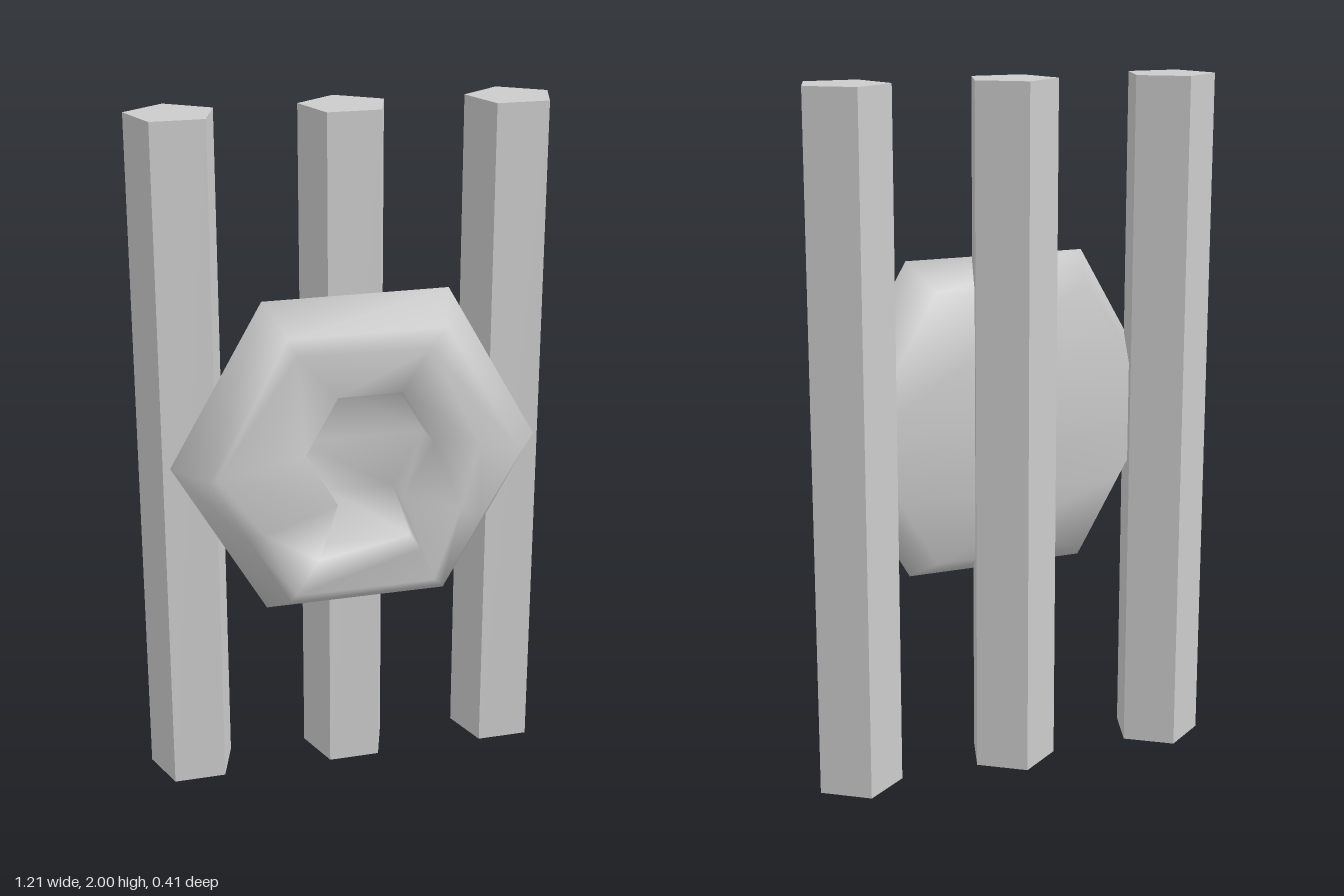
import * as THREE from 'three';

const material = new THREE.MeshStandardMaterial({ color: 0xcccccc });
const CENTER_Y = 1.025;

// Hexagon as eight points, clockwise from top left, with a midpoint on each lower side
function hexRing(r, z) {
  const h = r * Math.sqrt(3) / 2;
  return [[-r / 2, h], [r / 2, h], [r, 0], [r * 0.75, -h / 2],
    [r / 2, -h], [-r / 2, -h], [-r * 0.75, -h / 2], [-r, 0]]
    .map(([x, y]) => [x, y + CENTER_Y, z]);
}

// Keyhole outline with points matching the hexagon's
function keyholeRing(z) {
  return [[-0.093, 1.25], [0.093, 1.25], [0.185, 1.09], [0.095, 0.93],
    [0.15, 0.765], [-0.15, 0.765], [-0.095, 0.93], [-0.185, 1.09]]
    .map(([x, y]) => [x, y, z]);
}

// Skin over the rings, closed at both ends, with smooth shared normals
function loft(rings) {
  const n = 8, index = [];
  for (let i = 0; i < rings.length - 1; i++) {
    for (let j = 0; j < n; j++) {
      const a = i * n + j, b = i * n + (j + 1) % n;
      index.push(a, a + n, b, b, a + n, b + n);
    }
  }
  const last = (rings.length - 1) * n;
  for (const [a, b, c, d] of [[0, 1, 2, 7], [7, 2, 3, 6], [6, 3, 4, 5]]) {
    index.push(a, b, c, a, c, d);
    index.push(last + a, last + c, last + b, last + a, last + d, last + c);
  }
  const geo = new THREE.BufferGeometry();
  geo.setAttribute('position', new THREE.Float32BufferAttribute(rings.flat(2), 3));
  geo.setIndex(index);
  geo.computeVertexNormals();
  return geo;
}

export function createModel() {
  const group = new THREE.Group();

  // Three five-sided bars, flat side to the front
  const barGeo = new THREE.CylinderGeometry(0.13, 0.13, 2, 5).toNonIndexed();
  barGeo.computeVertexNormals();
  barGeo.rotateY(Math.PI);
  ['rightBar', 'middleBar', 'leftBar'].forEach((name, i) => {
    const bar = new THREE.Mesh(barGeo, material);
    bar.name = name;
    bar.position.set((i - 1) * 0.482, 1, -0.075);
    group.add(bar);
  });

  // Shallow slope leading up to the keyhole rim
  const slope = [[-0.2, 1.37], [0.18, 1.36], [0.33, 1.06], [0.28, 0.87],
    [0.2, 0.65], [-0.21, 0.65], [-0.3, 0.85], [-0.43, 1.03]]
    .map(([x, y]) => [x, y, 0.178]);

  // Hexagonal lock body with a sunken keyhole
  const lock = new THREE.Mesh(loft([
    hexRing(0.455, -0.078),
    hexRing(0.54, 0.048),
    hexRing(0.455, 0.175),
    slope,
    keyholeRing(0.205),
    keyholeRing(0.1),
  ]), material);
  lock.name = 'lock';
  group.add(lock);

  return group;
}
